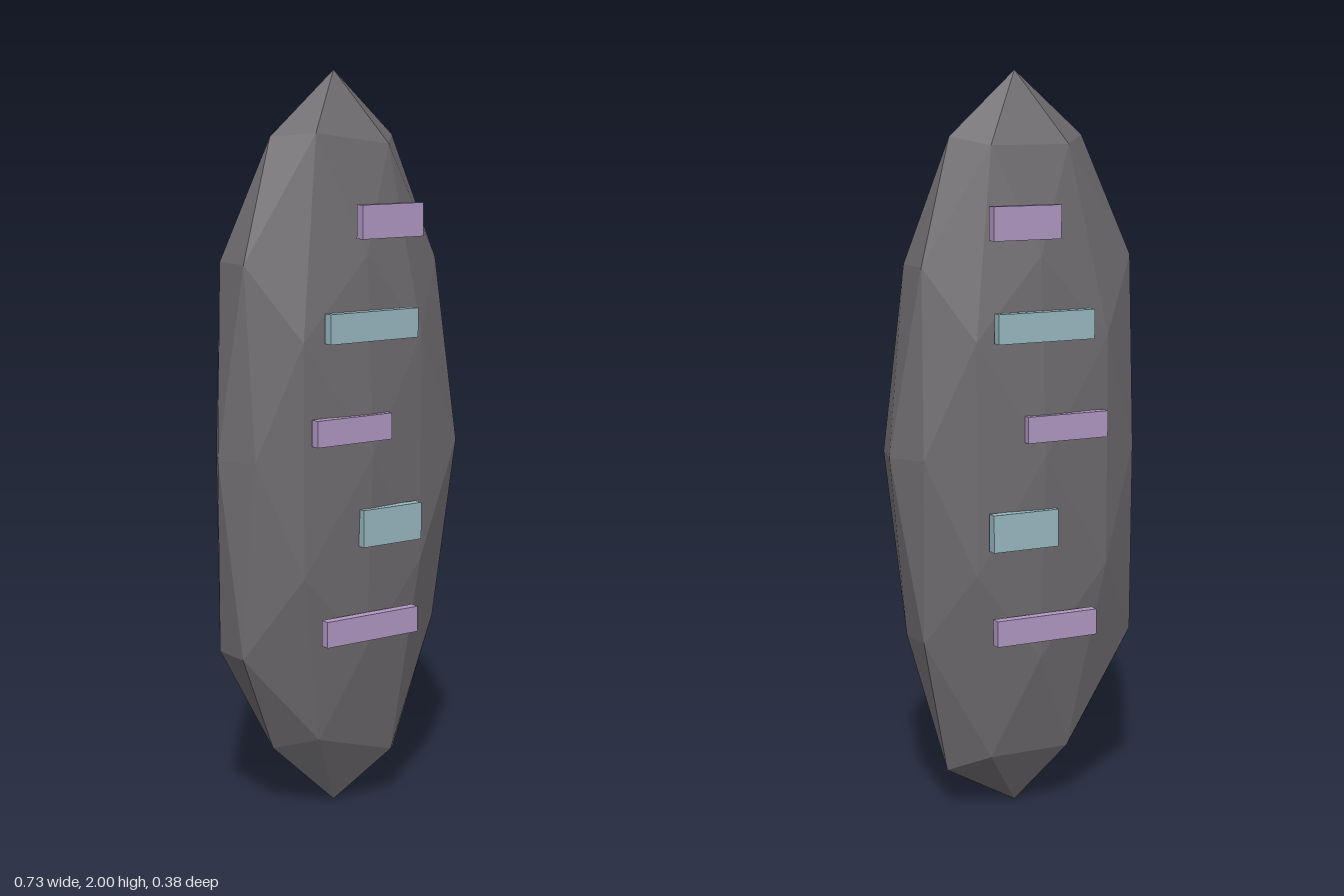
import * as THREE from 'three';

export function createModel() {
  const group = new THREE.Group();
  const stone = new THREE.MeshStandardMaterial({ color: 0x6f6c70, flatShading: true });
  stone.name = 'dark stone';
  const purple = new THREE.MeshStandardMaterial({ color: 0xb097c2 });
  purple.name = 'pale purple';
  const teal = new THREE.MeshStandardMaterial({ color: 0x98b8c0 });
  teal.name = 'pale teal';

  // Stone: a stretched, faceted ball with some corners chipped out of place
  const chips = [
    [-0.2, 1.83, 0], [0.19, 1.83, 0], [-0.2, 0.19, 0], [0.205, 0.12, 0],
    [-0.32, 1.51, 0.057], [-0.32, 1.51, -0.057],
    [-0.33, 0.47, 0.057], [-0.33, 0.47, -0.057],
    [0.34, 1, 0.1], [0.13, 0.15, 0.09], [-0.11, 0.22, 0.09],
    [0.115, 0.17, -0.09], [-0.115, 0.17, -0.09], [-0.12, 1.84, 0.093],
    [-0.2, 1.31, 0.153], [-0.2, 1.31, -0.153],
    [-0.2, 0.69, 0.153], [-0.2, 0.69, -0.153],
    [0, 0.45, -0.155], [0, 0.005, 0],
  ].map((p) => new THREE.Vector3(...p));
  const body = new THREE.IcosahedronGeometry(1, 1);
  body.scale(0.367, 1, 0.181).translate(0, 1, 0);
  const pos = body.attributes.position;
  const v = new THREE.Vector3();
  for (let i = 0; i < pos.count; i++) {
    v.fromBufferAttribute(pos, i);
    const chip = chips.find((c) => c.distanceTo(v) < 0.06);
    if (chip) pos.setXYZ(i, chip.x, chip.y, chip.z);
  }
  body.computeVertexNormals();
  const stoneMesh = new THREE.Mesh(body, stone);
  stoneMesh.name = 'stoneBody';
  group.add(stoneMesh);

  // Rune bars, the same on front and back: centre x, centre y, width, height
  const bars = [
    [0.057, 1.615, 0.195, 0.088],
    [0, 1.345, 0.28, 0.078],
    [-0.063, 1.077, 0.237, 0.07],
    [0.06, 0.81, 0.19, 0.1],
    [-0.003, 0.54, 0.296, 0.07],
  ];
  for (const side of [1, -1]) {
    bars.forEach(([x, y, w, h], i) => {
      const bar = new THREE.Mesh(new THREE.BoxGeometry(w, h, 0.027), i % 2 ? teal : purple);
      bar.position.set(x, y, side * 0.1755);
      bar.name = `${side > 0 ? 'front' : 'back'}Bar${i + 1}`;
      group.add(bar);
    });
  }
  return group;
}
